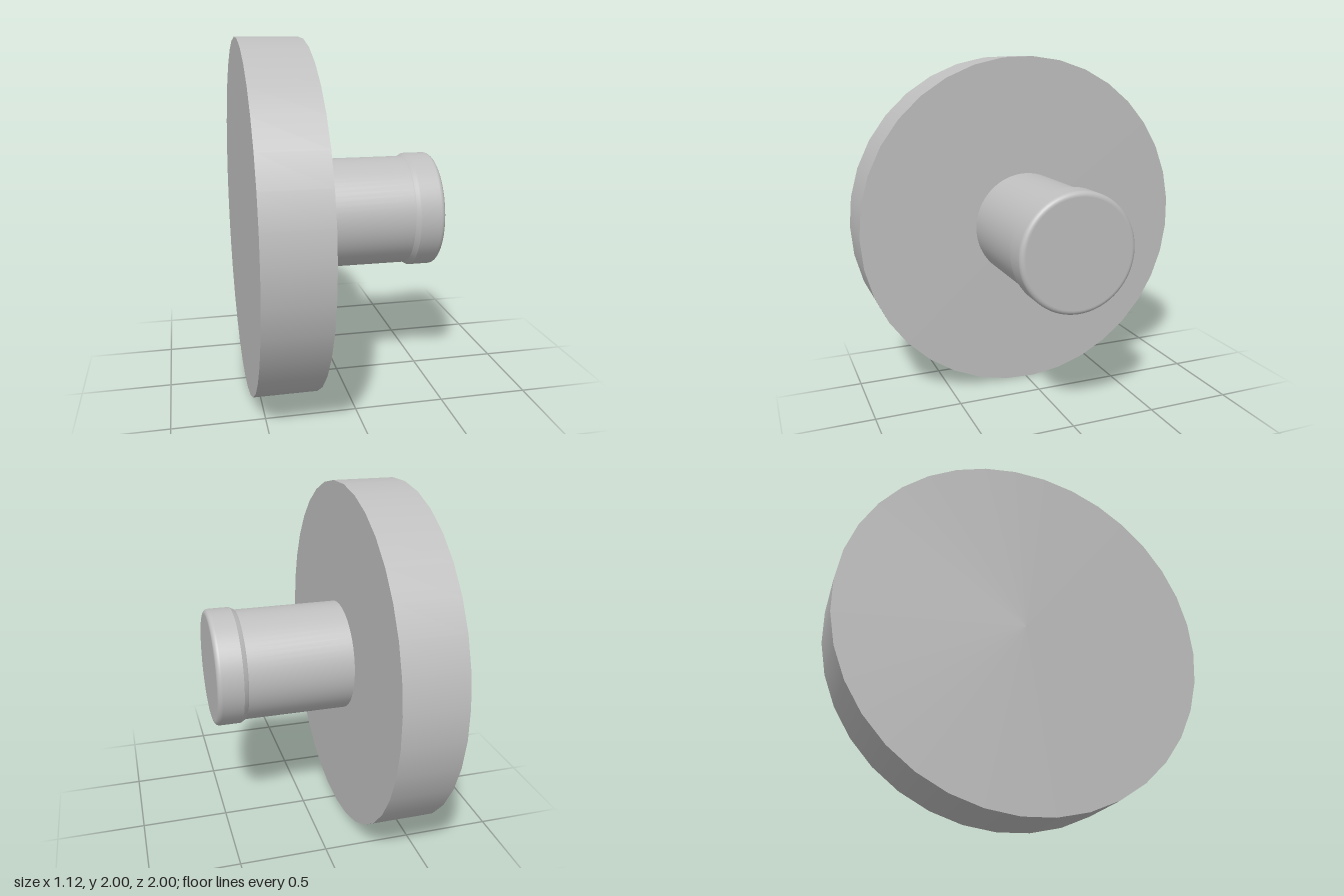
import * as THREE from 'three';

export function createModel() {
  const group = new THREE.Group();
  const grey = new THREE.MeshStandardMaterial({ color: 0xbfbfbf });
  grey.name = 'plain grey';

  // All parts turn about one axis, laid along +x at mid height.
  const body = new THREE.Group();
  body.name = 'knob';
  body.rotation.z = -Math.PI / 2;
  body.position.y = 1;
  group.add(body);

  const add = (name, geometry, y = 0) => {
    const mesh = new THREE.Mesh(geometry, grey);
    mesh.name = name;
    mesh.position.y = y;
    body.add(mesh);
    return mesh;
  };
  const turn = (points) =>
    new THREE.LatheGeometry(points.map(([r, y]) => new THREE.Vector2(r, y)), 64);

  // Wide disc with flat faces
  add('disc', new THREE.CylinderGeometry(1, 1, 0.35, 35), -0.385);

  // Straight shaft
  add('shaft', turn([[0.315, -0.21], [0.315, 0.385]]));

  // Flared step up to the head
  add('collar', turn([[0.315, 0.385], [0.319, 0.39], [0.328, 0.406], [0.332, 0.412]]));

  // Head with a rounded rim
  const rim = [[0.332, 0.412]];
  const fillet = 0.027;
  for (let i = 0; i <= 8; i++) {
    const a = (i / 8) * Math.PI / 2;
    rim.push([0.305 + fillet * Math.cos(a), 0.529 + fillet * Math.sin(a)]);
  }
  add('head', turn(rim));

  // Flat end of the head
  const end = add('headEnd', new THREE.CircleGeometry(0.305, 64), 0.556);
  end.rotation.x = -Math.PI / 2;

  return group;
}
